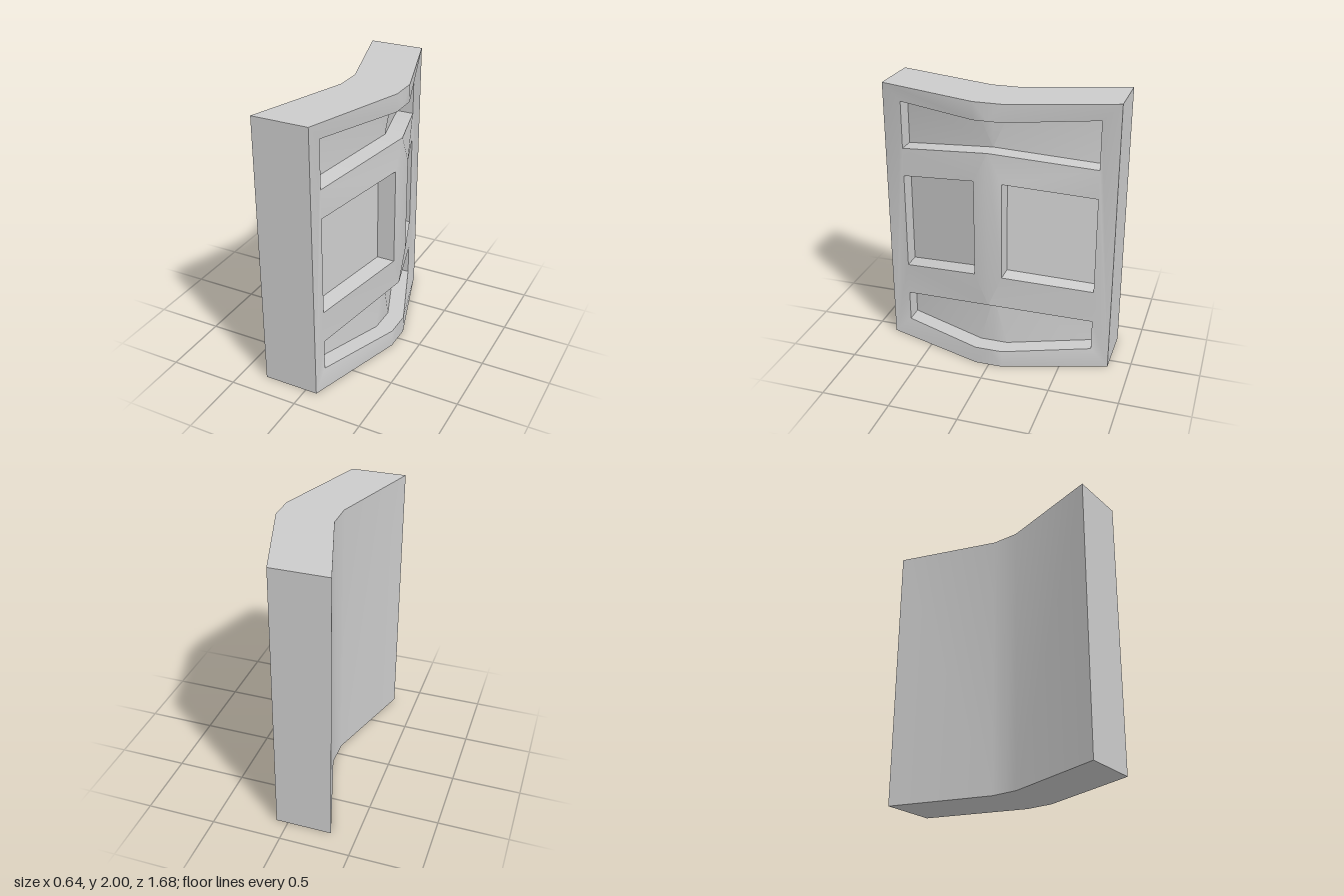
import * as THREE from 'three';
import { toCreasedNormals } from 'three/addons/utils/BufferGeometryUtils.js';

const DEPTH = 0.13; // recess depth
const Z_END = 0.84, Z_RIM = 0.71, Z_MID = 0.1;
const X_FRONT = 0.32, X_EDGE = 0.085;

// Point on the panelled (+x) face: flat middle, sloping flanks, flat side rims
function p(z, y) {
  const t = THREE.MathUtils.clamp((z - Z_MID) / (Z_RIM - Z_MID), 0, 1);
  return [THREE.MathUtils.lerp(X_FRONT, X_EDGE, t), y, z];
}

// The two long recesses have an apex on the centre line, so their chevron edge is straight to z = 0
const sunk = ([x, y, z]) => [x - DEPTH, y, z];

// Fans each polygon into triangles, adds its mirror image across z = 0
function mirroredMesh(name, polygons, material) {
  const pos = [];
  for (const poly of polygons) {
    for (let i = 1; i < poly.length - 1; i++) {
      const tri = [poly[0], poly[i], poly[i + 1]];
      tri.forEach((v) => pos.push(...v));
      tri.reverse().forEach(([x, y, z]) => pos.push(x, y, -z));
    }
  }
  const geo = new THREE.BufferGeometry();
  geo.setAttribute('position', new THREE.Float32BufferAttribute(pos, 3));
  const mesh = new THREE.Mesh(toCreasedNormals(geo, 0.6), material);
  mesh.name = name;
  return mesh;
}

export function createModel() {
  const group = new THREE.Group();
  group.name = 'bentPanel';
  const material = new THREE.MeshStandardMaterial({ color: 0xcccccc });

  // Outer corners and centre-line points
  const endLow = p(Z_END, 0), endHigh = p(Z_END, 2);
  const low = p(Z_MID, 0), low0 = p(0, 0), high = p(Z_MID, 2), high0 = p(0, 2);
  // Upper recess
  const u1 = p(Z_RIM, 1.875), u2 = p(Z_RIM, 1.53), u3 = p(0, 1.655), u4 = p(0, 1.875), u5 = p(Z_MID, 1.875);
  // Middle recess
  const m1 = p(Z_RIM, 1.32), m2 = p(Z_RIM, 0.6), m3 = p(Z_MID, 0.74), m4 = p(Z_MID, 1.445);
  // Lower recess
  const b1 = p(Z_RIM, 0.36), b2 = p(Z_RIM, 0.13), b3 = p(Z_MID, 0.13), b4 = p(0, 0.13), b5 = p(0, 0.505);

  // Raised frame around the recesses
  group.add(mirroredMesh('raisedFrame', [
    [endLow, b2, b1, m2, m1, u2, u1, endHigh],
    [endHigh, u1, u5, high], [high, u5, u4, high0],
    [endLow, low, b3, b2], [low, low0, b4, b3],
    [u2, m1, m4, u3], [m2, b1, b5, m3], [u3, m4, m3, b5],
  ], material));

  // Recesses: sunken floor plus a wall on each edge off the centre line
  const recesses = {
    upperRecess: [u3, u4, u5, u1, u2],
    middleRecesses: [m1, m2, m3, m4],
    lowerRecess: [b5, b1, b2, b3, b4],
  };
  for (const [name, loop] of Object.entries(recesses)) {
    const faces = [loop.map(sunk)];
    loop.forEach((a, i) => {
      const b = loop[(i + 1) % loop.length];
      if (a[2] === 0 && b[2] === 0) return;
      faces.push([a, b, sunk(b), sunk(a)]);
    });
    group.add(mirroredMesh(name, faces, material));
  }

  // Slab body: top, bottom, ends and plain bent back
  const outline = [[X_EDGE, Z_END], [X_FRONT, Z_MID], [X_FRONT, 0], [-0.09, 0], [-0.09, Z_MID], [-0.32, Z_END]];
  const at = (y) => outline.map(([x, z]) => [x, y, z]);
  const bottom = at(0), top = at(2);
  const body = [top, [bottom[0], ...bottom.slice(1).reverse()]];
  for (const i of [3, 4, 5]) {
    const j = (i + 1) % 6;
    body.push([bottom[i], bottom[j], top[j], top[i]]);
  }
  group.add(mirroredMesh('slabBody', body, material));
  return group;
}
